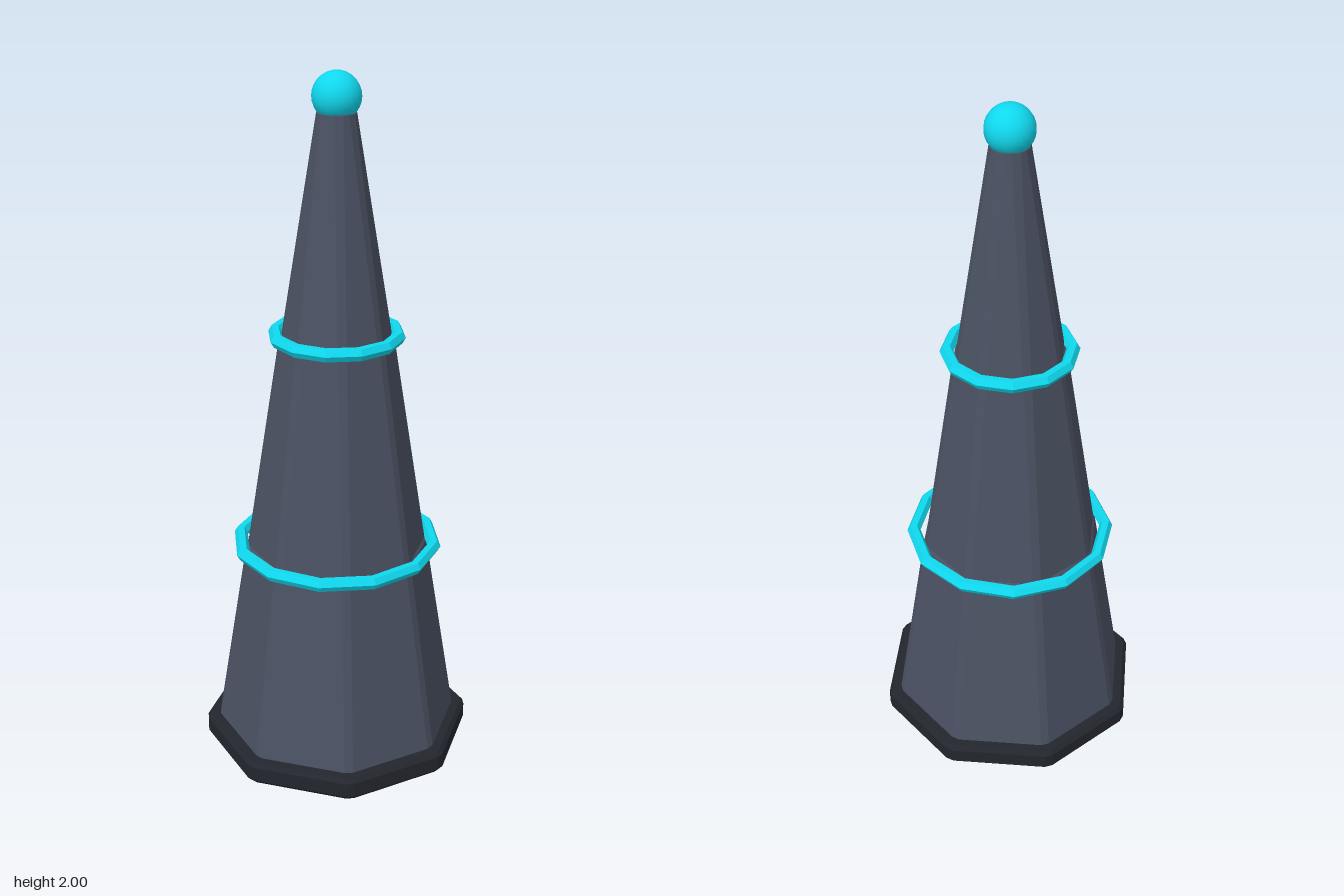
import * as THREE from 'three';

const bodyMat = new THREE.MeshStandardMaterial({ color: 0x4a5162, flatShading: true });
const baseMat = new THREE.MeshStandardMaterial({ color: 0x23262e, flatShading: true });
const ringMat = new THREE.MeshStandardMaterial({ color: 0x10d8ee, flatShading: true });
const ballMat = new THREE.MeshStandardMaterial({ color: 0x10d8ee });

// Octagon with clipped corners; c is half the width of each clipped corner
function octagonLoop(y, r, c) {
  const pts = [];
  for (let i = 0; i < 8; i++) {
    const a = (i * Math.PI) / 4, s = Math.sin(a), k = Math.cos(a);
    for (const t of [-c, c]) pts.push([r * s + t * k, y, r * k - t * s]);
  }
  return pts;
}

// Skins a stack of [height, radius] levels and closes both ends
function octagonStack(levels, c) {
  const loops = levels.map(([y, r]) => octagonLoop(y, r, c));
  const pos = [];
  const tri = (...p) => p.forEach((v) => pos.push(...v));
  const n = 16, last = loops.length - 1;
  const bottom = [0, levels[0][0], 0], top = [0, levels[last][0], 0];
  for (let i = 0; i < n; i++) {
    const j = (i + 1) % n;
    for (let l = 0; l < last; l++) {
      const lo = loops[l], hi = loops[l + 1];
      tri(lo[i], lo[j], hi[j]);
      tri(lo[i], hi[j], hi[i]);
    }
    tri(bottom, loops[0][j], loops[0][i]);
    tri(top, loops[last][i], loops[last][j]);
  }
  const g = new THREE.BufferGeometry();
  g.setAttribute('position', new THREE.Float32BufferAttribute(pos, 3));
  g.computeVertexNormals();
  return g;
}

export function createModel() {
  const group = new THREE.Group();
  const add = (name, geometry, material, y = 0) => {
    const mesh = new THREE.Mesh(geometry, material);
    mesh.name = name;
    mesh.position.y = y;
    group.add(mesh);
    return mesh;
  };

  // Foot plate with bevelled rims
  add('base', octagonStack([[0, 0.382], [0.012, 0.393], [0.056, 0.393], [0.068, 0.382]], 0.012), baseMat);

  // Three tapering tower sections: bottom height, bottom radius, top height, top radius
  const sections = [
    ['lowerSection', 0.04, 0.358, 0.64, 0.264],
    ['middleSection', 0.63, 0.258, 1.275, 0.16],
    ['upperSection', 1.265, 0.153, 1.9, 0.053],
  ];
  for (const [name, y0, r0, y1, r1] of sections) {
    add(name, octagonStack([[y0, r0 - 0.008], [y0 + 0.01, r0], [y1 - 0.01, r1], [y1, r1 - 0.008]], 0.012), bodyMat);
  }

  // Glowing hoops around the section joints
  for (const [name, r, y] of [['lowerRing', 0.286, 0.64], ['upperRing', 0.174, 1.275]]) {
    const hoop = new THREE.TorusGeometry(r, 0.0195, 6, 12);
    hoop.rotateX(-Math.PI / 2);
    add(name, hoop, ringMat, y);
  }

  // Ball on the tip
  add('tipBall', new THREE.SphereGeometry(0.067, 20, 14), ballMat, 1.933);
  return group;
}
